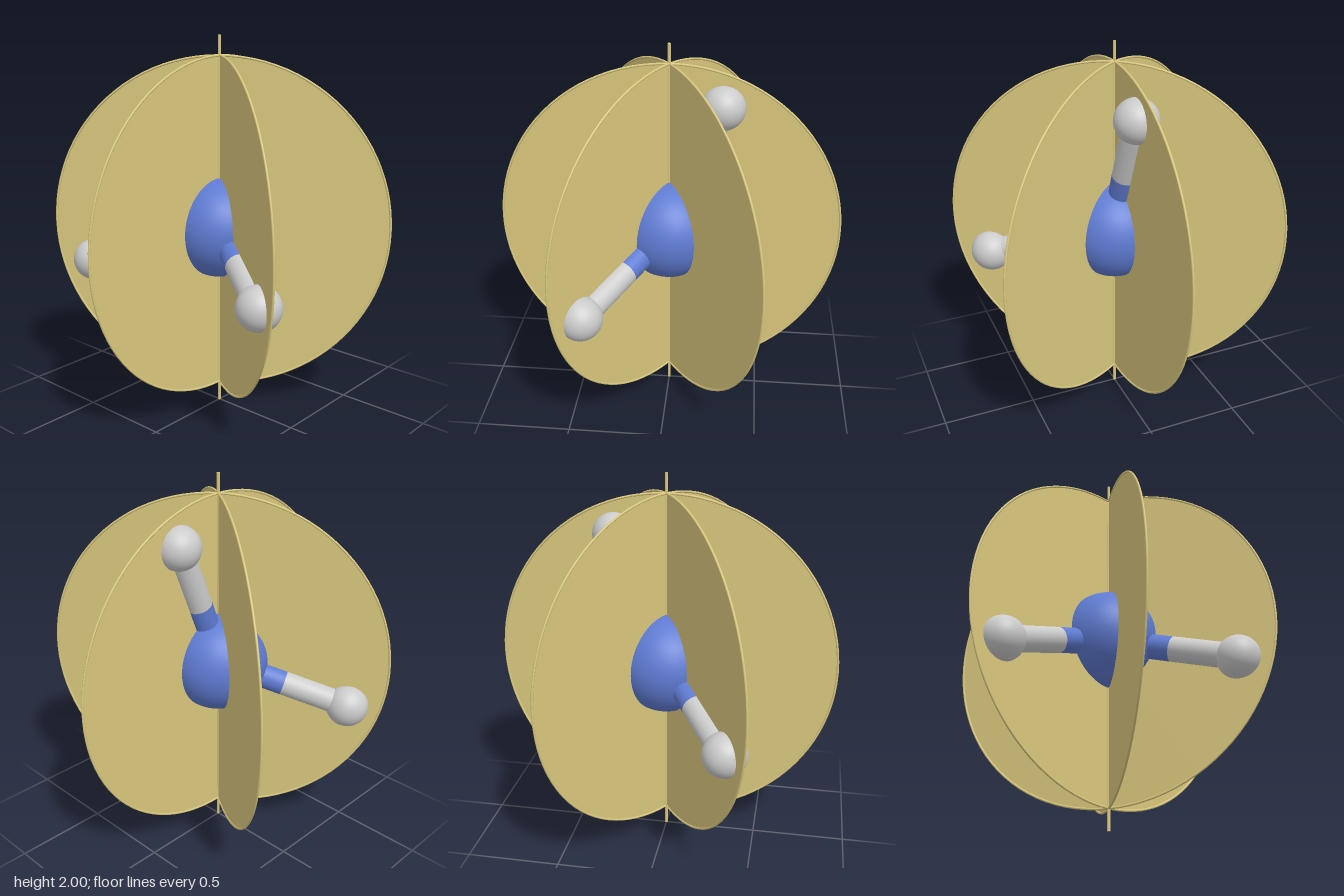
import * as THREE from 'three';

const CENTRE = new THREE.Vector3(0, 1.005, 0);
const UP = new THREE.Vector3(0, 1, 0);

export function createModel() {
  const model = new THREE.Group();
  const blue = new THREE.MeshStandardMaterial({ color: 0x5f7bd2 });
  const grey = new THREE.MeshStandardMaterial({ color: 0xcccccc });
  const gold = new THREE.MeshStandardMaterial({ color: 0xdac87e });
  const goldSheet = new THREE.MeshStandardMaterial({ color: 0xdac87e, side: THREE.DoubleSide });

  const add = (name, geometry, material, position, parent = model) => {
    const mesh = new THREE.Mesh(geometry, material);
    mesh.name = name;
    mesh.position.copy(position);
    parent.add(mesh);
    return mesh;
  };

  // Rod between two points
  const rod = (name, a, b, radius, material, parent) => {
    const along = b.clone().sub(a);
    const geometry = new THREE.CylinderGeometry(radius, radius, along.length(), 32);
    const mesh = add(name, geometry, material, a.clone().lerp(b, 0.5), parent);
    mesh.quaternion.setFromUnitVectors(UP, along.normalize());
  };

  // Central atom
  add('centralAtom', new THREE.SphereGeometry(0.265, 48, 32), blue, CENTRE);

  // Outer atoms, each on a two-coloured bond
  const outer = {
    left: new THREE.Vector3(0.578, 0.797, 0.382),
    right: new THREE.Vector3(-0.578, 0.797, 0.382),
    back: new THREE.Vector3(0, 1.685, -0.267),
  };
  for (const [side, position] of Object.entries(outer)) {
    const arm = new THREE.Group();
    arm.name = side + 'Arm';
    model.add(arm);
    const middle = CENTRE.clone().lerp(position, 0.51);
    rod('innerBond', CENTRE, middle, 0.067, blue, arm);
    rod('outerBond', middle, position, 0.067, grey, arm);
    add('outerAtom', new THREE.SphereGeometry(0.112, 40, 28), grey, position, arm);
  }

  // Mirror planes: thin discs with a rounded rim, one through each outer atom
  const tilt = Math.atan2(0.382, 0.578);
  for (const angle of [Math.PI / 2, tilt, -tilt]) {
    const plane = new THREE.Group();
    plane.name = 'mirrorPlane';
    plane.position.copy(CENTRE);
    plane.rotation.y = angle;
    model.add(plane);
    const origin = new THREE.Vector3();
    add('disc', new THREE.CircleGeometry(0.895, 96), goldSheet, origin, plane);
    add('rim', new THREE.TorusGeometry(0.894, 0.006, 10, 96), gold, origin, plane);
  }

  // Vertical rotation axis
  rod('axis', new THREE.Vector3(0, 0, 0), new THREE.Vector3(0, 2, 0), 0.008, gold, model);

  return model;
}
